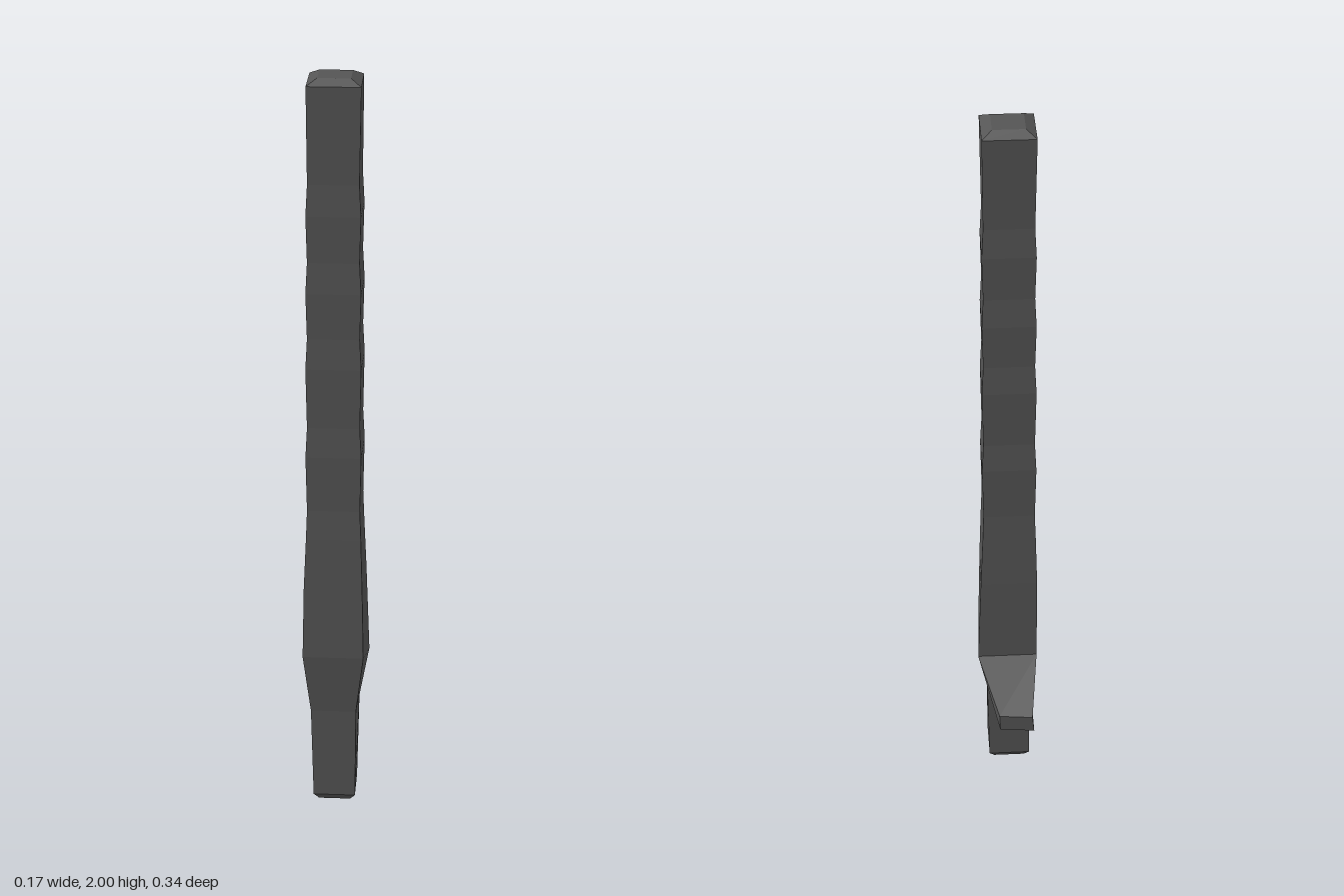
import * as THREE from 'three';

const material = new THREE.MeshStandardMaterial({ color: 0x555555, flatShading: true });

// Skin four-cornered rings into a faceted solid; corners run counter-clockwise seen from the last ring
function loft(name, rings, capStart = true) {
  const pos = [];
  const quad = (a, b, c, d) => pos.push(...a, ...b, ...c, ...a, ...c, ...d);
  for (let r = 0; r < rings.length - 1; r++) {
    const lo = rings[r], hi = rings[r + 1];
    for (let i = 0; i < 4; i++) {
      const j = (i + 1) % 4;
      quad(lo[i], lo[j], hi[j], hi[i]);
    }
  }
  const first = rings[0], last = rings[rings.length - 1];
  if (capStart) quad(first[3], first[2], first[1], first[0]);
  quad(last[0], last[1], last[2], last[3]);
  const geo = new THREE.BufferGeometry();
  geo.setAttribute('position', new THREE.Float32BufferAttribute(pos, 3));
  geo.computeVertexNormals();
  const mesh = new THREE.Mesh(geo, material);
  mesh.name = name;
  return mesh;
}

// Square section around the shaft axis; skew shifts the back edge to +x and the front edge to -x
const CX = -0.006, CZ = 0.09;
function section(y, h, skew = 0, yBack = y) {
  return [
    [CX - h - skew, y, CZ + h],
    [CX + h - skew, y, CZ + h],
    [CX + h + skew, yBack, CZ - h],
    [CX - h + skew, yBack, CZ - h],
  ];
}

export function createModel() {
  const group = new THREE.Group();

  // Handle foot with chamfer, then the flare up to the thick part
  const lower = section(0.28, 0.06, 0.002);
  const flare = section(0.45, 0.078, 0.004, 0.4);
  flare[1][0] = 0.072;
  flare[2][0] = 0.081;
  const rings = [section(0, 0.042), section(0.02, 0.056), lower, flare, section(0.65, 0.076, 0.002)];

  // Alternating ridges and valleys, thinning towards the top
  const waves = [
    [0.79, 0.071], [0.87, 0.068], [1.02, 0.071], [1.10, 0.067], [1.26, 0.07],
    [1.34, 0.066], [1.46, 0.069], [1.54, 0.065], [1.66, 0.068], [1.74, 0.064],
  ];
  for (const [y, h] of waves) rings.push(section(y, h, 0.001));

  // Chamfered top
  rings.push(section(1.985, 0.067), section(2, 0.041));
  group.add(loft('shaft', rings));

  // Tapered side prong growing out of the back of the flare
  const root = [lower[2], lower[3], flare[3], flare[2]];
  const tip = [
    [0.03, 0.28, -0.158], [-0.062, 0.28, -0.168],
    [-0.057, 0.33, -0.171], [0.032, 0.33, -0.161],
  ];
  group.add(loft('prong', [root, tip], false));

  return group;
}
